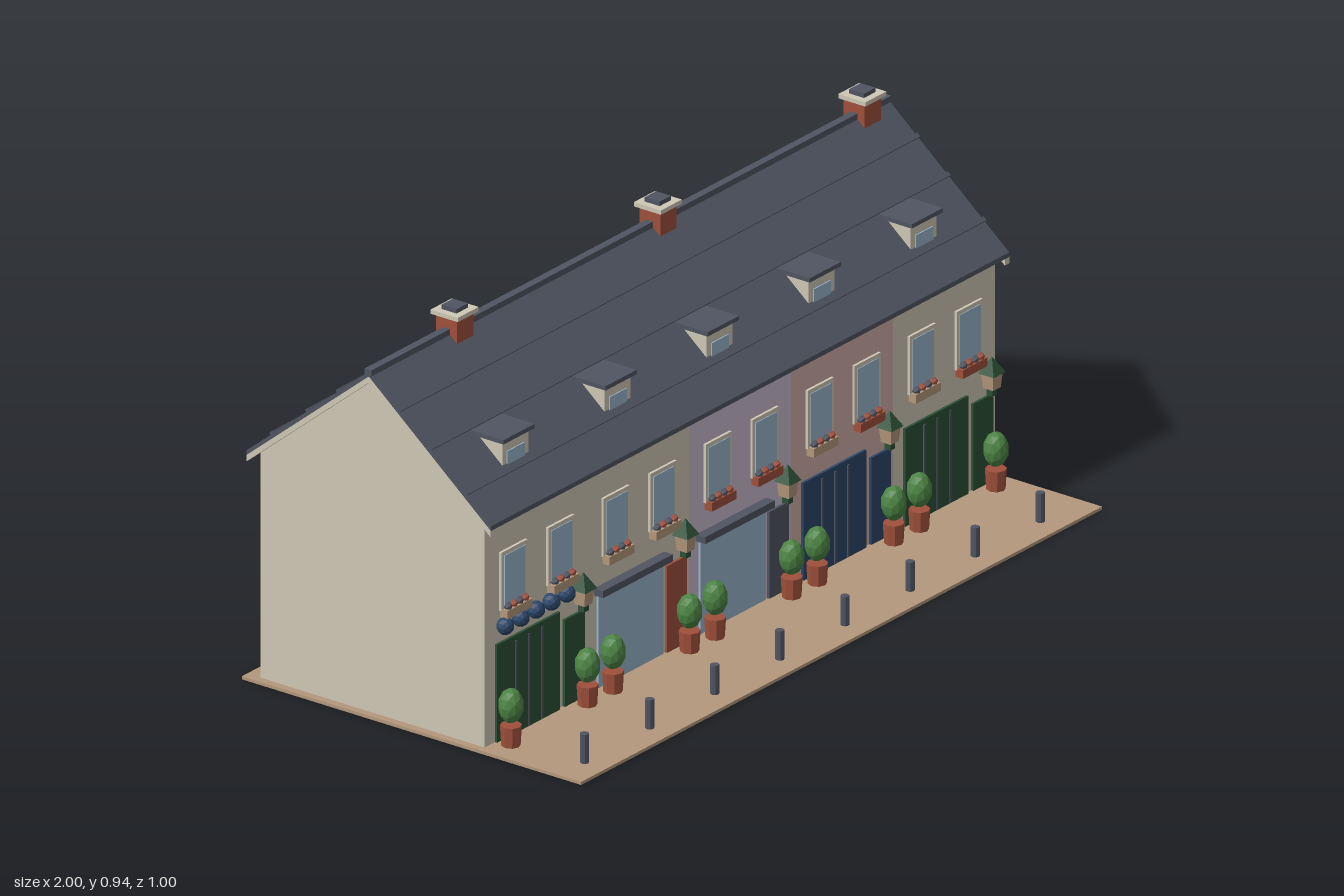
import * as THREE from 'three';

const mat = (name, color) => {
  const m = new THREE.MeshStandardMaterial({ color });
  m.name = name;
  return m;
};
const flat = (geo) => {
  const g = geo.index ? geo.toNonIndexed() : geo;
  g.computeVertexNormals();
  return g;
};

export function createModel() {
  const M = {
    cream: mat('cream render', 0xcfc8b5),
    lilac: mat('lilac render', 0xc9bccf),
    pink: mat('pink render', 0xcfaea6),
    slate: mat('slate', 0x505562),
    brick: mat('brick', 0xa0503c),
    tan: mat('tan paving', 0xb4987c),
    door: mat('door green', 0x2c5035),
    leaf: mat('foliage', 0x4c8444),
    glass: mat('glass', 0x9bb5cc),
    navy: mat('navy', 0x2c4669),
  };
  const root = new THREE.Group();
  root.name = 'terraceRow';

  const add = (parent, name, geo, m, x, y, z) => {
    const mesh = new THREE.Mesh(geo, m);
    mesh.name = name;
    mesh.position.set(x, y, z);
    parent.add(mesh);
    return mesh;
  };
  const box = (parent, name, m, w, h, d, x, y, z) =>
    add(parent, name, new THREE.BoxGeometry(w, h, d), m, x, y, z);
  const group = (parent, name, x = 0, y = 0, z = 0) => {
    const g = new THREE.Group();
    g.name = name;
    g.position.set(x, y, z);
    parent.add(g);
    return g;
  };
  // Extrudes a [z, y] outline along x
  const prism = (pts, width) => {
    const shape = new THREE.Shape(pts.map(([z, y]) => new THREE.Vector2(-z, y)));
    const geo = new THREE.ExtrudeGeometry(shape, { depth: width, bevelEnabled: false });
    return geo.rotateY(Math.PI / 2).translate(-width / 2, 0, 0);
  };

  const UNIT = 0.392, FRONT = 0.2, RIDGE_Z = -0.13, RIDGE_Y = 0.885, EAVE_Y = 0.587, RUN = 0.36;
  const slope = Math.atan2(RIDGE_Y - EAVE_Y, RUN);
  const roofY = (z) => RIDGE_Y - Math.abs(z - RIDGE_Z) * Math.tan(slope);

  box(root, 'paving', M.tan, 2, 0.008, 1, 0, 0.004, 0);

  // Shared small parts
  const bushGeo = flat(new THREE.IcosahedronGeometry(0.032, 1).scale(0.97, 1.4, 0.97));
  const potGeo = flat(new THREE.CylinderGeometry(0.026, 0.023, 0.052, 8));
  const flowerGeo = flat(new THREE.IcosahedronGeometry(0.011, 0));
  const ballGeo = flat(new THREE.IcosahedronGeometry(0.022, 1));
  const lampRoofGeo = flat(new THREE.ConeGeometry(0.033, 0.042, 4).rotateY(Math.PI / 4));
  const lampBodyGeo = flat(new THREE.CylinderGeometry(0.026, 0.021, 0.04, 4).rotateY(Math.PI / 4));

  const planter = (parent, x) => {
    const g = group(parent, 'planter', x, 0.008, 0.24);
    add(g, 'pot', potGeo, M.brick, 0, 0.026, 0);
    add(g, 'bush', bushGeo, M.leaf, 0, 0.101, 0);
  };

  const lantern = (parent, x) => {
    const g = group(parent, 'lantern', x, 0, 0.228);
    add(g, 'lanternBody', lampBodyGeo, M.tan, 0, 0.283, 0);
    add(g, 'lanternRoof', lampRoofGeo, M.door, 0, 0.322, 0);
    box(g, 'lanternFoot', M.door, 0.018, 0.018, 0.018, 0, 0.254, 0);
    box(g, 'lanternBracket', M.door, 0.01, 0.01, 0.028, 0, 0.3, -0.014);
  };

  const upperWindow = (parent, x, boxMat) => {
    const g = group(parent, 'upperWindow', x, 0, FRONT);
    box(g, 'windowFrame', M.cream, 0.1, 0.15, 0.008, 0, 0.413, 0.003);
    box(g, 'windowGlass', M.glass, 0.08, 0.135, 0.004, 0, 0.41, 0.007);
    box(g, 'flowerBox', boxMat, 0.095, 0.022, 0.022, 0, 0.331, 0.012);
    for (let i = 0; i < 4; i++)
      add(g, 'flower', flowerGeo, i % 2 ? M.brick : M.slate, -0.033 + i * 0.022, 0.347, 0.013);
  };

  // Double door with vertical seams
  const garage = (parent, m) => {
    const g = group(parent, 'garageDoor', -0.036, 0, FRONT);
    box(g, 'garagePanel', m, 0.242, 0.25, 0.008, 0, 0.133, 0.003);
    for (const x of [-0.05, 0, 0.05])
      box(g, 'doorSeam', M.slate, 0.006, 0.235, 0.003, x, 0.128, 0.008);
  };

  const shopfront = (parent) => {
    const g = group(parent, 'shopfront', -0.034, 0, FRONT);
    box(g, 'shopGlass', M.glass, 0.25, 0.242, 0.006, 0, 0.131, 0.003);
    box(g, 'shopCanopy', M.slate, 0.268, 0.018, 0.03, 0, 0.258, 0.012);
  };

  const dormer = (parent) => {
    const g = group(parent, 'dormer');
    box(g, 'dormerBody', M.cream, 0.1, 0.075, 0.14, 0, 0.685, 0.07);
    box(g, 'dormerGlass', M.glass, 0.066, 0.034, 0.004, 0, 0.676, 0.141);
    box(g, 'dormerRoof', M.slate, 0.12, 0.011, 0.12, 0, 0.727, 0.091);
  };

  // Houses, from the row's right end to its left
  const houses = [
    { wall: M.cream, door: M.door, garage: M.door, boxes: [M.tan, M.tan] },
    { wall: M.cream, door: M.brick, boxes: [M.tan, M.tan] },
    { wall: M.lilac, door: M.slate, boxes: [M.brick, M.brick] },
    { wall: M.pink, door: M.navy, garage: M.navy, boxes: [M.tan, M.brick] },
    { wall: M.cream, door: M.door, garage: M.door, boxes: [M.tan, M.brick] },
  ];
  const wallGeo = prism(
    [[FRONT, 0.008], [FRONT, 0.595], [RIDGE_Z, 0.868], [-0.46, 0.595], [-0.46, 0.008]].reverse(), UNIT);
  houses.forEach((h, i) => {
    const g = group(root, 'house' + (i + 1), (i - 2) * UNIT, 0, 0);
    add(g, 'walls', wallGeo, h.wall, 0, 0, 0);
    if (h.garage) garage(g, h.garage); else shopfront(g);
    box(g, 'frontDoor', h.door, 0.076, 0.222, 0.008, 0.142, 0.119, FRONT + 0.003);
    [-0.09, 0.09].forEach((x, k) => upperWindow(g, x, h.boxes[k]));
    lantern(g, 0.147);
    for (const x of [-0.147, 0.147]) planter(g, x);
    dormer(g);
  });

  // Hanging balls over the first garage
  for (let i = 0; i < 5; i++)
    add(root, 'hangingBall', ballGeo, M.navy, -0.92 + i * 0.059, 0.302, 0.215);

  // Roof and verge boards, as chevrons
  const chevron = (top, bottom, width) => prism([
    [RIDGE_Z + RUN, EAVE_Y - top], [RIDGE_Z, RIDGE_Y - top], [RIDGE_Z - RUN, EAVE_Y - top],
    [RIDGE_Z - RUN, EAVE_Y - bottom], [RIDGE_Z, RIDGE_Y - bottom], [RIDGE_Z + RUN, EAVE_Y - bottom],
  ], width);
  const roof = group(root, 'roof');
  add(roof, 'roofSlopes', chevron(0, 0.012, 1.99), M.slate, 0, 0, 0);
  for (const s of [-1, 1])
    add(roof, 'vergeBoard', chevron(0.012, 0.028, 0.018), M.cream, s * 0.987, 0, 0);
  box(roof, 'ridgeCap', M.slate, 1.996, 0.018, 0.02, 0, RIDGE_Y - 0.002, RIDGE_Z);
  for (const s of [-1, 1])
    for (const d of [0.09, 0.18, 0.285]) {
      const z = RIDGE_Z + s * d;
      const rib = box(roof, 'roofRib', M.slate, 1.992, 0.009, 0.012, 0, roofY(z) + 0.002, z);
      rib.rotation.x = s * slope;
    }

  for (const x of [-0.665, 0.115, 0.9]) {
    const g = group(root, 'chimney', x, 0, RIDGE_Z);
    box(g, 'chimneyStack', M.brick, 0.062, 0.08, 0.062, 0, 0.882, 0);
    box(g, 'chimneyCap', M.cream, 0.08, 0.011, 0.08, 0, 0.926, 0);
    box(g, 'chimneyPot', M.slate, 0.044, 0.011, 0.044, 0, 0.937, 0);
  }

  // Bollards along the kerb
  const bollardGeo = flat(new THREE.CylinderGeometry(0.011, 0.011, 0.075, 8));
  for (let i = 0; i < 8; i++)
    add(root, 'bollard', bollardGeo, M.slate, -0.905 + i * 0.25, 0.045, 0.437);

  return root;
}
